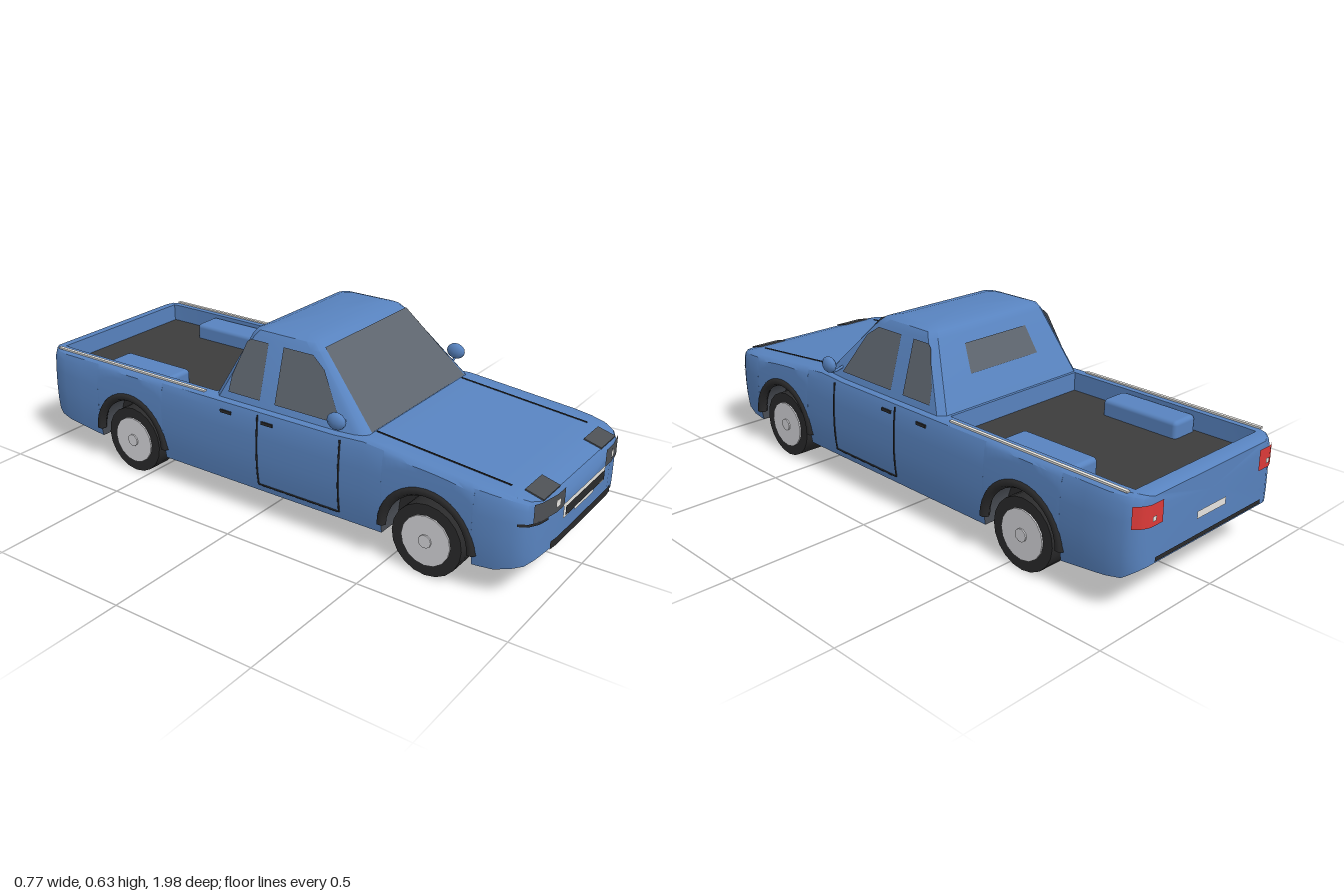
import * as THREE from 'three';
import { toCreasedNormals } from 'three/addons/utils/BufferGeometryUtils.js';
import { RoundedBoxGeometry } from 'three/addons/geometries/RoundedBoxGeometry.js';

const mat = (name, color, side = THREE.FrontSide) => {
  const m = new THREE.MeshStandardMaterial({ color, side });
  m.name = name;
  return m;
};

// Linear interpolation in a table of [key, value] with rising keys
function lerpTable(table, k) {
  if (k <= table[0][0]) return table[0][1];
  for (let i = 1; i < table.length; i++) {
    const [a, va] = table[i - 1], [b, vb] = table[i];
    if (k <= b) return va + (vb - va) * (k - a) / (b - a);
  }
  return table[table.length - 1][1];
}

// Skin a row of cross-sections, optionally closed and capped
function loft(rings, { closed = false, start = false, end = false } = {}) {
  const out = [];
  const tri = (a, b, c) => {
    const area = b.clone().sub(a).cross(c.clone().sub(a)).length();
    if (area > 1e-8) out.push(...a, ...b, ...c);
  };
  const n = rings[0].length;
  for (let i = 0; i + 1 < rings.length; i++) {
    for (let j = 0; j < (closed ? n : n - 1); j++) {
      const k = (j + 1) % n, r = rings[i], s = rings[i + 1];
      tri(r[j], s[j], r[k]);
      tri(s[j], s[k], r[k]);
    }
  }
  const cap = (ring, flip) => {
    const c = ring.reduce((s, p) => s.add(p), new THREE.Vector3()).divideScalar(n);
    ring.forEach((p, j) => {
      const q = ring[(j + 1) % n];
      if (flip) tri(c, q, p); else tri(c, p, q);
    });
  };
  if (start) cap(rings[0], false);
  if (end) cap(rings[rings.length - 1], true);
  const g = new THREE.BufferGeometry();
  g.setAttribute('position', new THREE.Float32BufferAttribute(out, 3));
  return toCreasedNormals(g, 0.6);
}

// Body outline: half width, top and bottom along z
const WIDTH = [[-0.98, 0.29], [-0.97, 0.315], [-0.95, 0.335], [-0.92, 0.348], [-0.88, 0.355],
  [0.8, 0.355], [0.86, 0.348], [0.91, 0.335], [0.945, 0.315], [0.965, 0.28], [0.98, 0.2]];
const TOP = [[-0.98, 0.37], [-0.96, 0.38], [0.3, 0.382], [0.41, 0.388], [0.9, 0.34], [0.965, 0.322], [0.98, 0.295]];
const BOTTOM = [[-0.98, 0.16], [-0.93, 0.125], [-0.72, 0.095], [0.85, 0.095], [0.94, 0.12], [0.98, 0.15]];
const NOSE = [[0.2, 0.98], [0.28, 0.965], [0.315, 0.945], [0.335, 0.91]];
const TAIL = [[0.29, 0.98], [0.315, 0.97], [0.335, 0.95]];
const AXLES = [0.64, -0.56];
const FLOOR = 0.312;

// Cab outline by height
const CAB_Y = [0.37, 0.595, 0.615, 0.627];
const cabHalf = y => lerpTable([[0.37, 0.327], [0.595, 0.262], [0.615, 0.25], [0.627, 0.215]], y);
const cabFront = y => lerpTable([[0.37, 0.425], [0.595, 0.205], [0.615, 0.18], [0.627, 0.13]], y);
const cabBack = y => lerpTable([[0.37, -0.195], [0.595, -0.085], [0.615, -0.07], [0.627, -0.035]], y);

export function createModel() {
  const root = new THREE.Group();
  root.name = 'pickupTruck';
  const blue = mat('bodyBlue', 0x5883bf);
  const dark = mat('darkTrim', 0x2a2a2b);
  const under = mat('underbodyGrey', 0x4a4e55);
  const bedGrey = mat('bedLining', 0x3c3c3c);
  const glass = mat('tintedGlass', 0x5e656e, THREE.DoubleSide);
  const lamp = mat('headlightGrey', 0x4d5054);
  const pale = mat('paleMetal', 0xe6e4e0);
  const silver = mat('wheelSilver', 0xd6d6da);
  const red = mat('tailRed', 0xdc3a38);

  const add = (name, geo, m, x = 0, y = 0, z = 0) => {
    const mesh = new THREE.Mesh(geo, m);
    mesh.name = name;
    mesh.position.set(x, y, z);
    root.add(mesh);
    return mesh;
  };
  const box = (name, m, w, h, d, x, y, z) => add(name, new THREE.BoxGeometry(w, h, d), m, x, y, z);
  const rod = (name, m, r, points) => add(name, new THREE.TubeGeometry(
    new THREE.CatmullRomCurve3(points.map(p => new THREE.Vector3(...p))), 8, r, 5), m);

  // Stations from nose to tail, with wheel arches and the open bed
  const stations = [];
  const at = (z, bed = false, yb = lerpTable(BOTTOM, z)) => stations.push({ z, bed, yb });
  const arch = (c, bed) => {
    const R = 0.155;
    at(c + R, bed);
    for (let k = 0; k <= 14; k++) {
      const a = Math.PI * k / 14;
      at(c + R * Math.cos(a), bed, 0.13 + R * Math.sin(a));
    }
    at(c - R, bed);
  };
  [0.98, 0.965, 0.945, 0.91, 0.86, 0.81].forEach(z => at(z));
  arch(AXLES[0], false);
  [0.41, 0.3, 0, -0.2].forEach(z => at(z));
  at(-0.2, true);
  arch(AXLES[1], true);
  [-0.8, -0.88, -0.93].forEach(z => at(z, true));
  [-0.93, -0.95, -0.97, -0.98].forEach(z => at(z));

  const sideX = (z, y) => lerpTable(WIDTH, z) * (1 - (y < 0.22 ? 0.04 * ((0.22 - y) / 0.13) ** 2 : 0.03 * ((y - 0.22) / 0.16) ** 2));
  const section = ({ z, bed, yb }) => {
    const top = lerpTable(TOP, z), half = [];
    for (const t of [0, 0.2, 0.45, 0.7, 0.9]) {
      const y = yb + (top - 0.006 - yb) * t;
      half.push([sideX(z, y), y]);
    }
    half.push([sideX(z, top) * 0.985, top - 0.008], [sideX(z, top) * 0.95, top]);
    const inner = Math.min(0.295, lerpTable(WIDTH, z) * 0.85);
    half.push([inner, top], [inner, bed ? FLOOR : top]);
    return [...half, ...half.slice().reverse().map(([x, y]) => [-x, y])].map(([x, y]) => new THREE.Vector3(x, y, z));
  };
  add('body', loft(stations.map(section), { start: true, end: true }), blue);

  // Underside, and dark inner walls behind the wheels
  add('underside', loft(stations.map(({ z, yb }) => [-1, 1].map(s => new THREE.Vector3(s * sideX(z, yb), yb, z)))), under);
  box('chassis', under, 0.48, 0.11, 1.62, 0, 0.145, 0.04);
  for (const z of AXLES) box('wheelWell', dark, 0.49, 0.19, 0.316, 0, 0.195, z);

  // Load bed
  box('bedFloor', bedGrey, 0.586, 0.006, 0.726, 0, FLOOR + 0.002, -0.565);

  // Cab
  const cabRing = y => {
    const w = cabHalf(y), f = cabFront(y), b = cabBack(y), c = 0.022;
    return [[w, b + c], [w, f - 2 * c], [w - 0.3 * c, f - 0.7 * c], [w - c, f],
      [c - w, f], [0.3 * c - w, f - 0.7 * c], [-w, f - 2 * c], [-w, b + c], [c - w, b], [w - c, b]]
      .map(([x, z]) => new THREE.Vector3(x, y, z));
  };
  add('cab', loft(CAB_Y.map(cabRing), { closed: true, end: true }), blue);

  // Windows: flat outlines mapped onto the cab faces
  const pane = (name, outline, place) => {
    const g = new THREE.ShapeGeometry(new THREE.Shape(outline.map(p => new THREE.Vector2(...p))));
    const p = g.attributes.position;
    for (let i = 0; i < p.count; i++) p.setXYZ(i, ...place(p.getX(i), p.getY(i)));
    g.computeVertexNormals();
    add(name, g, glass);
  };
  pane('windshield', [[-0.288, 0.391], [0.288, 0.391], [0.238, 0.606], [-0.238, 0.606]], (a, y) => [a, y, cabFront(Math.min(y, 0.595)) + 0.004 - Math.max(0, y - 0.595) * 0.95]);
  pane('rearWindow', [[-0.155, 0.475], [0.155, 0.475], [0.14, 0.565], [-0.14, 0.565]], (a, y) => [a, y, cabBack(y) - 0.004]);
  for (const s of [1, -1]) {
    const place = (a, y) => [s * (cabHalf(y) + 0.004), y, a];
    pane('frontSideWindow', [[0.315, 0.405], [0.06, 0.405], [0.06, 0.585], [0.175, 0.585], [0.225, 0.55]], place);
    pane('rearSideWindow', [[0, 0.405], [-0.13, 0.405], [-0.125, 0.46], [-0.085, 0.575], [-0.07, 0.585], [0, 0.585]], place);
  }

  // Panels wrapped around the nose or the tail
  const wrap = (name, m, x0, x1, y0, y1, rear = false, lift = 0.005) => {
    const g = new THREE.PlaneGeometry(x1 - x0, y1 - y0, 12, 1).translate((x0 + x1) / 2, (y0 + y1) / 2, 0);
    const p = g.attributes.position;
    for (let i = 0; i < p.count; i++) {
      const x = p.getX(i), z = lerpTable(rear ? TAIL : NOSE, Math.abs(x)) + lift;
      p.setXYZ(i, rear ? -x : x, p.getY(i), rear ? -z : z);
    }
    g.computeVertexNormals();
    add(name, g, m);
  };
  wrap('grilleFrame', pale, -0.152, 0.152, 0.222, 0.27);
  wrap('grille', dark, -0.143, 0.143, 0.229, 0.26, false, 0.008);
  wrap('frontPlate', pale, -0.07, 0.07, 0.214, 0.222);
  wrap('bumperIntake', dark, -0.22, 0.22, 0.15, 0.176);
  wrap('tailgatePlate', pale, -0.07, 0.07, 0.232, 0.256, true);
  wrap('rearBumperStrip', dark, -0.26, 0.26, 0.168, 0.182, true);
  const hoodTilt = Math.atan2(0.018, 0.065);
  for (const s of [1, -1]) {
    const span = (a, b) => [Math.min(s * a, s * b), Math.max(s * a, s * b)];
    wrap('headlight', lamp, ...span(0.15, 0.3), 0.265, 0.324);
    wrap('headlightLens', pale, ...span(0.185, 0.212), 0.284, 0.308, false, 0.008);
    wrap('headlightLowerTrim', dark, ...span(0.24, 0.33), 0.256, 0.265);
    wrap('tailLight', red, ...span(0.235, 0.335), 0.283, 0.352, true);
    wrap('reverseLight', pale, ...span(0.268, 0.284), 0.3, 0.316, true, 0.008);
    box('headlightTop', lamp, 0.11, 0.006, 0.062, s * 0.205, 0.331, 0.937).rotation.x = hoodTilt;
  }

  // Paired parts
  for (const s of [1, -1]) {
    for (const z of AXLES) {
      const tyre = add('tyre', new THREE.CylinderGeometry(0.12, 0.12, 0.09, 20), dark, s * 0.295, 0.12, z);
      const hub = add('wheelHub', new THREE.CylinderGeometry(0.084, 0.084, 0.008, 16), silver, s * 0.341, 0.12, z);
      const hubCap = add('hubCap', new THREE.CylinderGeometry(0.022, 0.022, 0.006, 10), silver, s * 0.347, 0.12, z);
      for (const part of [tyre, hub, hubCap]) part.rotation.z = Math.PI / 2;
      const lip = add('archLip', new THREE.TorusGeometry(0.155, 0.017, 6, 18, Math.PI), dark, s * 0.345, 0.13, z);
      lip.rotation.y = Math.PI / 2;
    }
    add('bedWheelBox', new RoundedBoxGeometry(0.105, 0.075, 0.295, 2, 0.015), blue, s * 0.238, FLOOR + 0.024, -0.565);
    box('bedRail', pale, 0.012, 0.006, 0.7, s * 0.322, 0.383, -0.58);

    // Door seams, handles and hood seams
    const onSide = (y, z) => [s * (sideX(z, y) + 0.0005), y, z];
    for (const z of [0.33, 0.01]) rod('doorSeam', dark, 0.003, [0.12, 0.17, 0.22, 0.27, 0.32, 0.368].map(y => onSide(y, z)));
    rod('doorLowerSeam', dark, 0.003, [onSide(0.12, 0.33), onSide(0.12, 0.01)]);
    for (const z of [0.05, -0.12]) box('doorHandle', dark, 0.01, 0.01, 0.045, s * 0.348, 0.345, z);
    box('hoodSeam', dark, 0.005, 0.006, 0.46, s * 0.265, 0.365, 0.64).rotation.x = Math.atan2(0.048, 0.49);

    // Door mirrors
    const shell = add('mirrorShell', new THREE.SphereGeometry(1, 10, 8), blue, s * 0.365, 0.437, 0.33);
    shell.scale.set(0.018, 0.028, 0.034);
    rod('mirrorArm', blue, 0.005, [[s * 0.305, 0.42, 0.325], [s * 0.355, 0.409, 0.33], [s * 0.365, 0.43, 0.33]]);
  }
  return root;
}
